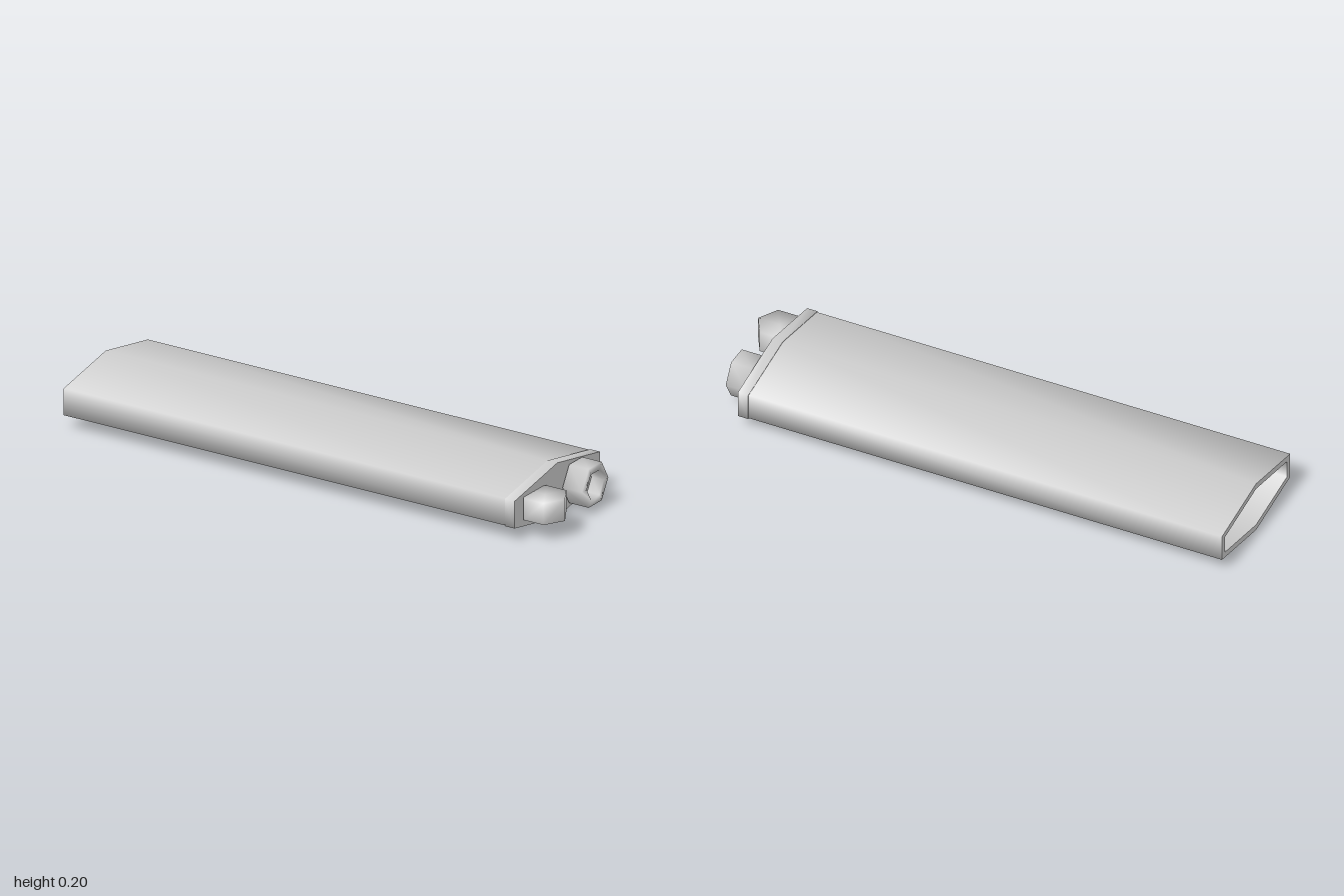
import * as THREE from 'three';
import { mergeGeometries } from 'three/addons/utils/BufferGeometryUtils.js';

const grey = new THREE.MeshStandardMaterial({ color: 0xcccccc });

// Six-sided ring of [z, y] points
const bodyRing = (w, h, side) =>
  [[w, side], [0, h], [-w, side], [-w, -side], [0, -h], [w, -side]];
const hexRing = (r) => Array.from({ length: 6 }, (_, i) =>
  [r * Math.cos(i * Math.PI / 3), r * Math.sin(i * Math.PI / 3)]);

// Smooth skin through a list of [x, ring] sections
function loft(sections) {
  const pos = [], index = [], n = 6;
  sections.forEach(([x, ring]) => ring.forEach(([z, y]) => pos.push(x, y, z)));
  for (let s = 0; s < sections.length - 1; s++) {
    for (let j = 0; j < n; j++) {
      const a = s * n + j, b = s * n + (j + 1) % n, c = a + n, d = b + n;
      index.push(a, c, b, b, c, d);
    }
  }
  const g = new THREE.BufferGeometry();
  g.setAttribute('position', new THREE.Float32BufferAttribute(pos, 3));
  g.setIndex(index);
  g.computeVertexNormals();
  return g;
}

// Hex nut along +x with a blind hex socket in its front
function nutGeometry() {
  const h = 0.0405, floor = -0.01, centre = hexRing(0);
  const outer = hexRing(0.083), inner = hexRing(0.054);
  return mergeGeometries([
    loft([[-h, centre], [-h, outer], [h, outer], [h, inner], [floor, inner]]),
    loft([[floor, inner], [floor, centre]]),
  ]);
}

export function createModel() {
  const group = new THREE.Group();
  const add = (name, geometry, x, y, z) => {
    const mesh = new THREE.Mesh(geometry, grey);
    mesh.name = name;
    mesh.position.set(x, y, z);
    group.add(mesh);
  };
  const midY = 0.102;

  // Hollow sleeve, open at the far end
  const outer = bodyRing(0.266, 0.1, 0.05);
  const inner = bodyRing(0.242, 0.078, 0.033);
  add('sleeve', mergeGeometries([
    loft([[-1, outer], [0.835, outer]]),
    loft([[0.835, inner], [-1, inner]]),
    loft([[-1, inner], [-1, outer]]),
  ]), 0, midY, 0);

  // Closed end plate, slightly larger than the sleeve
  const plate = bodyRing(0.27, 0.102, 0.051), centre = bodyRing(0, 0, 0);
  add('endPlate', mergeGeometries([
    loft([[0.83, plate], [0.87, plate]]),
    loft([[0.83, centre], [0.83, plate]]),
    loft([[0.87, plate], [0.87, centre]]),
  ]), 0, midY, 0);

  // Nut facing outwards and nut lying flat, socket down
  add('outwardNut', nutGeometry(), 0.9145, 0.103, -0.11);
  add('flatNut', nutGeometry().rotateX(Math.PI / 6).rotateZ(-Math.PI / 2), 0.917, 0.108, 0.15);

  return group;
}
